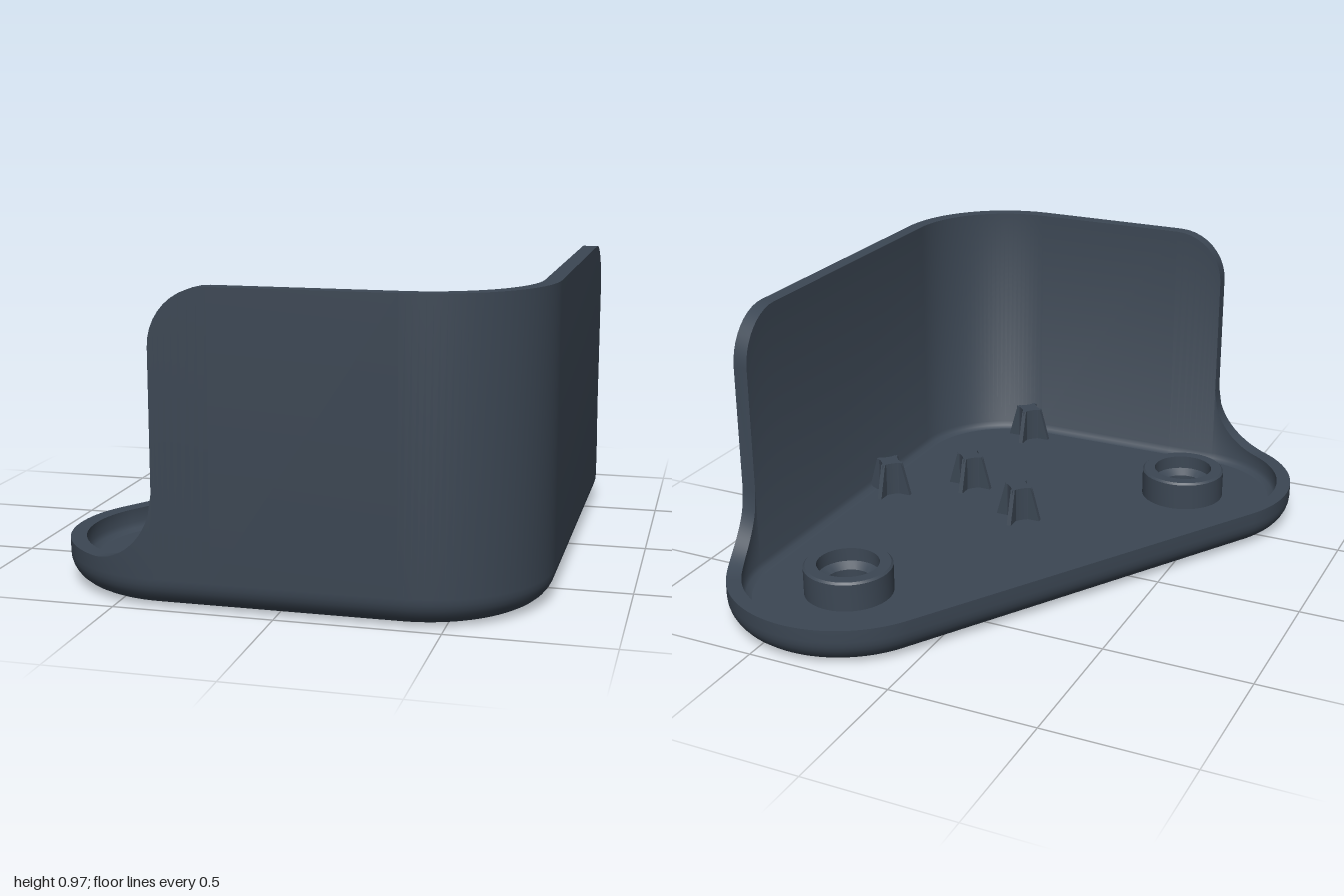
import * as THREE from 'three';
import { toCreasedNormals } from 'three/addons/utils/BufferGeometryUtils.js';

const shellMat = new THREE.MeshStandardMaterial({ color: 0x3c4754 });
shellMat.name = 'slate';
const traceMat = new THREE.MeshStandardMaterial({ color: 0xb0843f });
traceMat.name = 'bronze';

const R = 0.4, CX = 0.37, CZ = 0.6;           // corner radius and corner centres
const RIM = 0.135, TOP = 0.97, FLOOR = 0.065, BASE = 0.003;
const WALL = 0.05, EDGE = 0.09, FILLET = 0.22, ROUND = 0.18;

// Stations around the outline: corner centre, outward normal and wall height
function makeStations() {
  const list = [];
  const add = (x, z, a, h) => list.push({ x, z, nx: Math.cos(a), nz: Math.sin(a), h });
  const sweep = (x, z, a0, a1, n, height) => {
    for (let i = 0; i <= n; i++) {
      const a = a0 + (a1 - a0) * i / n;
      add(x, z, a, height(a));
    }
  };
  // concave fillet from the wall end down to the low rim
  const fillet = d => d >= FILLET ? RIM : RIM + FILLET - Math.sqrt(FILLET ** 2 - (FILLET - d) ** 2);
  const slant = Math.atan2(-CX, -CZ);
  const n = 10, q = Math.PI / 2;
  for (let i = 0; i <= n; i++) {              // rounded top corner of the front wall
    const t = q * i / n;
    add(-CX + ROUND * (1 - Math.cos(t)), CZ, q, TOP - ROUND + ROUND * Math.sin(t));
  }
  sweep(CX, CZ, q, 0, 32, () => TOP);
  for (let i = n; i >= 0; i--) {              // rounded top corner of the side wall
    const t = q * i / n;
    add(CX, -CZ + ROUND * (1 - Math.cos(t)), 0, TOP - ROUND + ROUND * Math.sin(t));
  }
  sweep(CX, -CZ, 0, slant, 90, a => a > -q ? fillet(R * Math.abs(Math.sin(a))) : RIM);
  sweep(-CX, CZ, slant, -3 * q, 80, a => a < -2 * q ? fillet(R * Math.abs(Math.cos(a))) : RIM);
  return list;
}

// Tray rim and tall wall as one loft around the outline
function makeShell(stations) {
  const rows = stations.map(s => {
    const section = [];
    for (let k = 0; k <= 8; k++) {
      const t = Math.PI / 2 * k / 8;
      section.push([EDGE * (1 - Math.sin(t)), BASE + EDGE * (1 - Math.cos(t))]);
    }
    section.push([0, s.h], [WALL, s.h], [WALL, 0.09], [0.06, 0.073], [0.08, FLOOR]);
    return section.map(([inset, y]) =>
      [s.x + s.nx * (R - inset), y, s.z + s.nz * (R - inset)]);
  });
  const pos = [];
  rows.forEach((a, i) => {
    const b = rows[(i + 1) % rows.length];
    for (let j = 0; j < a.length - 1; j++) {
      pos.push(...a[j], ...b[j], ...b[j + 1], ...a[j], ...b[j + 1], ...a[j + 1]);
    }
  });
  const g = new THREE.BufferGeometry();
  g.setAttribute('position', new THREE.Float32BufferAttribute(pos, 3));
  return toCreasedNormals(g, 0.75);
}

// Flat floor plate with the two screw holes; dir = 1 faces up, -1 faces down
function makePlate(stations, inset, y, dir) {
  const shape = new THREE.Shape(stations.map(s => new THREE.Vector2(
    s.x + s.nx * (R - inset), -dir * (s.z + s.nz * (R - inset)))));
  for (const k of [1, -1]) {
    const hole = new THREE.Path();
    hole.absarc(k * CX, dir * k * CZ, 0.05, 0, Math.PI * 2);
    shape.holes.push(hole);
  }
  return new THREE.ShapeGeometry(shape, 20).rotateX(-dir * Math.PI / 2).translate(0, y, 0);
}

// Cross-shaped locating pin: concave core with four tapering fins
function makePin() {
  const pin = new THREE.Group();
  const height = 0.125;
  const fin = new THREE.Shape([[-0.085, 0], [0.085, 0], [0.05, height], [-0.05, height]]
    .map(p => new THREE.Vector2(...p)));
  const finGeo = new THREE.ExtrudeGeometry(fin, { depth: 0.016, bevelEnabled: false }).translate(0, 0, -0.008);
  const core = new THREE.Shape().moveTo(0.055, 0);
  for (let i = 1; i <= 4; i++) {
    const a = i * Math.PI / 2, m = a - Math.PI / 4;
    core.quadraticCurveTo(0.026 * Math.cos(m), 0.026 * Math.sin(m), 0.055 * Math.cos(a), 0.055 * Math.sin(a));
  }
  const coreGeo = new THREE.ExtrudeGeometry(core, { depth: height, bevelEnabled: false, curveSegments: 8 })
    .rotateX(-Math.PI / 2);
  for (const turn of [0, Math.PI / 2]) {
    const m = new THREE.Mesh(finGeo, shellMat);
    m.rotation.y = turn;
    m.name = 'pinFin';
    pin.add(m);
  }
  const c = new THREE.Mesh(coreGeo, shellMat);
  c.name = 'pinCore';
  pin.add(c);
  return pin;
}

// Inlaid pattern on the underside, laid out on axes turned against the tray
function makeInlay() {
  const inlay = new THREE.Group();
  const at = ([u, v]) => [-0.766 * u + 0.643 * v, -0.643 * u - 0.766 * v];
  const T = 0.004;
  const put = (geo, x, z, name) => {
    const m = new THREE.Mesh(geo, traceMat);
    m.position.set(x, T / 2, z);
    m.name = name;
    inlay.add(m);
    return m;
  };
  const dot = (p, r) => put(new THREE.CylinderGeometry(r, r, T, 20), ...at(p), 'inlayDot');
  const line = (pts, closed) => {
    const n = pts.length;
    for (let i = 0; i < (closed ? n : n - 1); i++) {
      const [x0, z0] = at(pts[i]), [x1, z1] = at(pts[(i + 1) % n]);
      const bar = put(new THREE.BoxGeometry(Math.hypot(x1 - x0, z1 - z0), T, 0.034),
        (x0 + x1) / 2, (z0 + z1) / 2, 'inlayLine');
      bar.rotation.y = -Math.atan2(z1 - z0, x1 - x0);
    }
    pts.forEach((p, i) => dot(p, i % 2 ? 0.028 : 0.038));
  };
  // rings
  for (const [x, z] of [[0.44, -0.37], [0.15, 0.17], [0.44, 0.7], [-0.13, 0.7]]) {
    const ring = new THREE.Shape().absarc(0, 0, 0.068, 0, Math.PI * 2);
    ring.holes.push(new THREE.Path().absarc(0, 0, 0.034, 0, Math.PI * 2));
    const g = new THREE.ExtrudeGeometry(ring, { depth: T, bevelEnabled: false, curveSegments: 16 })
      .translate(0, 0, -T / 2).rotateX(Math.PI / 2);
    put(g, x, z, 'inlayRing');
  }
  // loops and open branches
  line([[0.006, 0.248], [-0.109, -0.121], [0.084, -0.159], [0.116, 0.045], [0.006, 0.108]], true);
  line([[-0.566, 0.006], [-0.669, -0.363], [-0.489, -0.414], [-0.45, -0.223], [-0.56, -0.134]], true);
  line([[0.257, 0.669], [0.206, 0.414], [0.006, 0.49], [0.045, 0.567], [0.116, 0.554]]);
  line([[-0.36, 0.401], [-0.341, 0.299], [-0.373, 0.172], [-0.559, 0.261]]);
  line([[-0.154, -0.363], [-0.135, -0.465], [-0.013, -0.516]]);
  line([[-0.135, -0.465], [-0.174, -0.503], [-0.238, -0.72]]);
  dot([-0.36, 0.39], 0.06);
  dot([0.129, 0.86], 0.035);
  dot([0.167, -0.389], 0.04);
  return inlay;
}

export function createModel() {
  const model = new THREE.Group();
  const add = (obj, name) => {
    obj.name = name;
    model.add(obj);
    return obj;
  };
  const stations = makeStations();
  add(new THREE.Mesh(makeShell(stations), shellMat), 'shellWall');
  add(new THREE.Mesh(makePlate(stations, 0.08, FLOOR, 1), shellMat), 'trayFloor');
  add(new THREE.Mesh(makePlate(stations, EDGE, BASE, -1), shellMat), 'underside');

  // countersunk screw bosses
  const profile = [[0.15, FLOOR], [0.15, 0.16], [0.143, 0.167], [0.105, 0.167], [0.105, 0.12],
    [0.078, 0.1], [0.078, 0.07], [0.05, 0.07], [0.05, BASE]].map(p => new THREE.Vector2(...p));
  const bossGeo = toCreasedNormals(new THREE.LatheGeometry(profile, 48), 0.5);
  for (const k of [1, -1]) {
    add(new THREE.Mesh(bossGeo, shellMat), 'screwBoss').position.set(k * CX, 0, -k * CZ);
  }

  // locating pins
  for (const [x, z] of [[0.1, 0.15], [0.635, 0.15], [0.385, 0.325], [0.385, 0.86]]) {
    add(makePin(), 'locatingPin').position.set(x, FLOOR, z);
  }

  add(makeInlay(), 'undersideInlay');
  return model;
}
